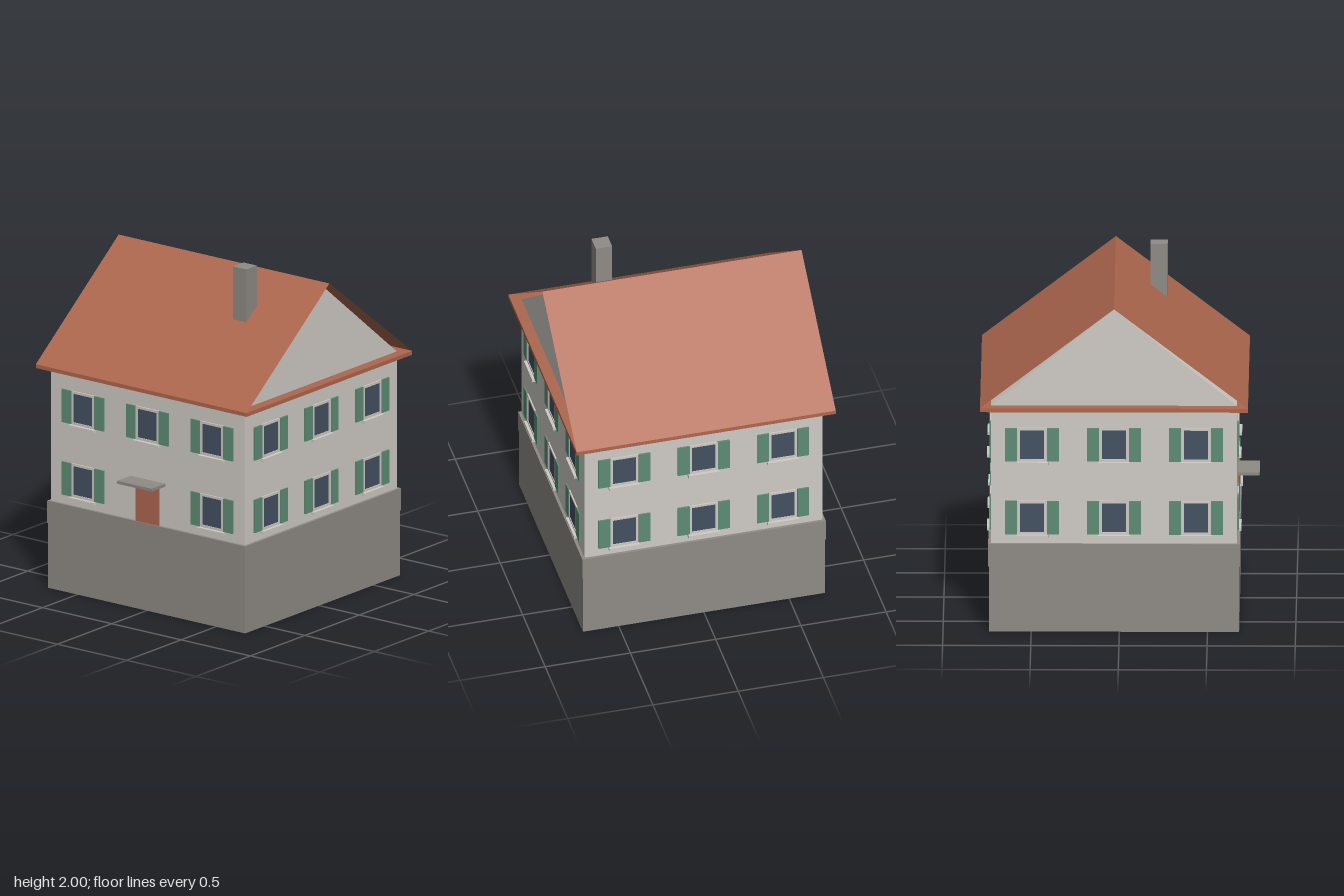
import * as THREE from 'three';

const mat = (name, color, side = THREE.FrontSide) => {
  const m = new THREE.MeshStandardMaterial({ color, side });
  m.name = name;
  return m;
};

export function createModel() {
  const plaster = mat('plaster', 0xcfcbc5);
  const stone = mat('stone', 0x8f8b85);
  const tile = mat('roof tile', 0xae674e, THREE.DoubleSide);
  const green = mat('shutter green', 0x5d8c75);
  const glass = mat('window glass', 0x435161);

  const model = new THREE.Group();
  model.name = 'house';
  const house = new THREE.Group(); // centred on the walls
  house.name = 'building';
  house.position.z = -0.03;
  model.add(house);

  const add = (parent, name, geometry, material, x = 0, y = 0, z = 0) => {
    const mesh = new THREE.Mesh(geometry, material);
    mesh.name = name;
    mesh.position.set(x, y, z);
    parent.add(mesh);
    return mesh;
  };
  // Box given by its limits on each axis
  const box = (parent, name, material, [x0, x1], [y0, y1], [z0, z1]) =>
    add(parent, name, new THREE.BoxGeometry(x1 - x0, y1 - y0, z1 - z0), material,
      (x0 + x1) / 2, (y0 + y1) / 2, (z0 + z1) / 2);

  const W = 0.698; // half width of the square walls
  const EAVE = 1.33, RIDGE = 1.915, RX = 0.76, RZ = 0.76;

  // Foundation with a slightly wider upper band
  box(house, 'foundation', stone, [-0.71, 0.71], [0, 0.385], [-0.71, 0.71]);
  box(house, 'foundationBand', stone, [-0.714, 0.714], [0.385, 0.518], [-0.714, 0.714]);

  // Walls and the gable block
  box(house, 'walls', plaster, [-W, W], [0.518, 1.307], [-W, W]);
  const triangle = new THREE.Shape([
    new THREE.Vector2(-W, EAVE), new THREE.Vector2(W, EAVE), new THREE.Vector2(0, 1.897)]);
  const gable = new THREE.ExtrudeGeometry(triangle, { depth: 2 * W, bevelEnabled: false });
  gable.translate(0, 0, -W).rotateY(Math.PI / 2);
  add(house, 'gables', gable, plaster);

  // Eave slab and two thin roof sheets
  box(house, 'eaveSlab', tile, [-RX, RX], [1.307, EAVE], [-RZ, RZ]);
  const rise = RIDGE - EAVE;
  for (const s of [1, -1]) {
    const sheet = new THREE.PlaneGeometry(2 * RX, Math.hypot(rise, RZ));
    sheet.rotateX(-Math.atan2(RZ, rise));
    if (s < 0) sheet.rotateY(Math.PI);
    add(house, s > 0 ? 'frontRoof' : 'backRoof', sheet, tile, 0, (EAVE + RIDGE) / 2, s * RZ / 2);
  }

  // Chimney
  box(house, 'chimney', stone, [0.298, 0.394], [1.55, 2], [0.2, 0.297]);

  // Window frame with an opening
  const ring = (w, h, t) => {
    const rect = (C, a, b) => {
      const p = new C();
      p.moveTo(-a, -b); p.lineTo(a, -b); p.lineTo(a, b); p.lineTo(-a, b); p.closePath();
      return p;
    };
    const shape = rect(THREE.Shape, w, h);
    shape.holes.push(rect(THREE.Path, w - t, h - t));
    return new THREE.ExtrudeGeometry(shape, { depth: 0.008, bevelEnabled: false });
  };
  const frameGeometry = ring(0.082, 0.099, 0.014);

  const addWindow = (wall, x, y) => {
    const win = new THREE.Group();
    win.name = 'window';
    win.position.set(x, y, W);
    wall.add(win);
    add(win, 'frame', frameGeometry, plaster);
    box(win, 'pane', glass, [-0.068, 0.068], [-0.085, 0.085], [-0.001, 0.004]);
    box(win, 'sill', plaster, [-0.092, 0.092], [-0.118, -0.101], [0, 0.024]);
    for (const s of [-1, 1])
      box(win, 'shutter', green, [s * 0.118 - 0.034, s * 0.118 + 0.034], [-0.098, 0.098], [0, 0.01]);
  };

  // Three windows on two floors of each side; the door replaces one in front
  ['front', 'left', 'back', 'right'].forEach((side, i) => {
    const wall = new THREE.Group();
    wall.name = side + 'Windows';
    wall.rotation.y = i * Math.PI / 2;
    house.add(wall);
    for (const y of [0.67, 1.1])
      for (const x of [-0.465, 0, 0.465])
        if (!(i === 0 && x === 0 && y < 1)) addWindow(wall, x, y);
  });

  // Door and its canopy
  box(house, 'door', tile, [-0.083, 0.083], [0.518, 0.745], [W, W + 0.01]);
  box(house, 'doorCanopy', stone, [-0.125, 0.125], [0.757, 0.774], [W, 0.822]);

  return model;
}
